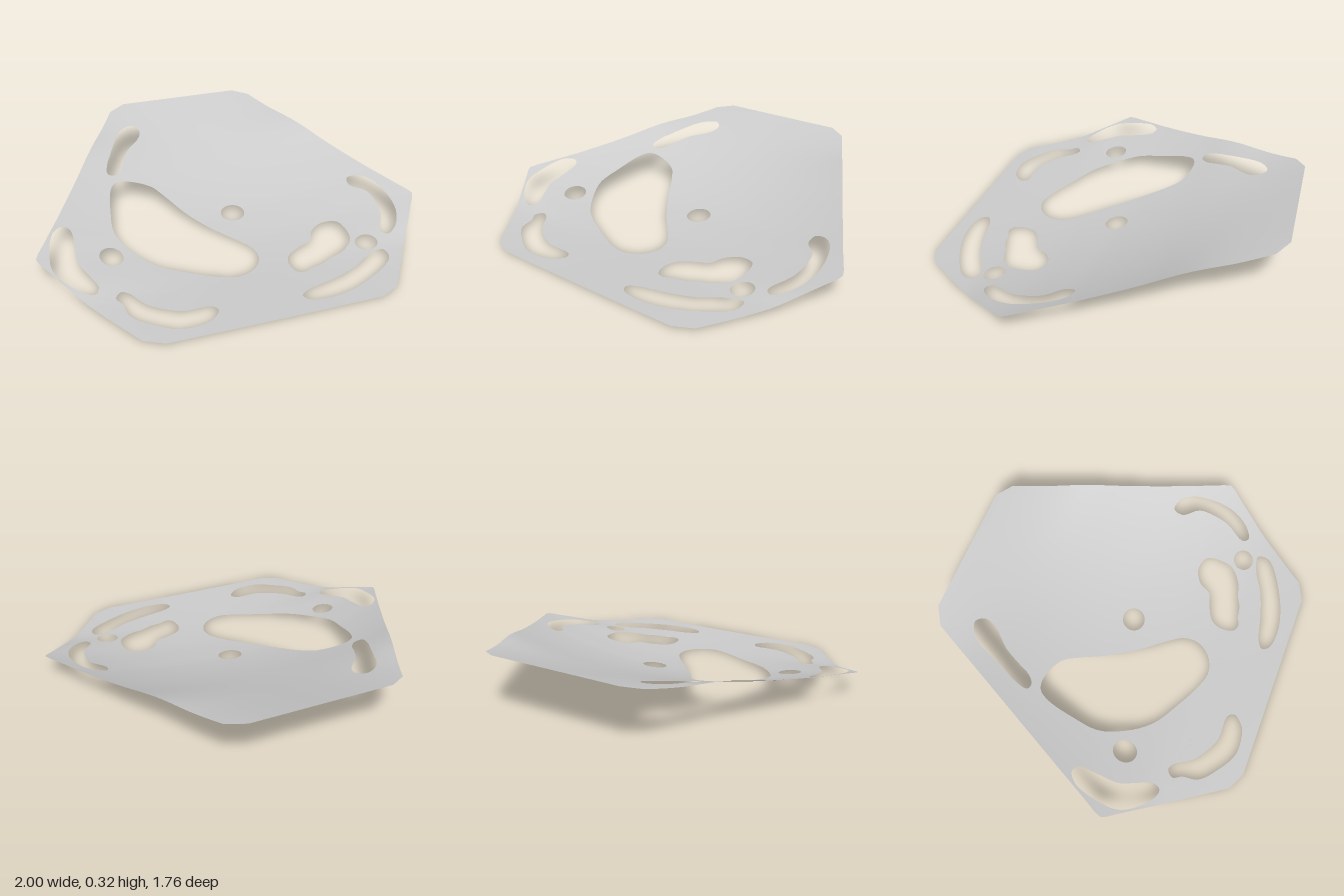
import * as THREE from 'three';
import { mergeVertices } from 'three/addons/utils/BufferGeometryUtils.js';

// Smooth interpolation through [z, value] pairs sorted by z
function smooth(knots, z) {
  const last = knots.length - 1;
  let i = 0;
  while (i < last - 1 && z > knots[i + 1][0]) i++;
  const slope = (j) => {
    const a = knots[Math.max(j - 1, 0)], b = knots[Math.min(j + 1, last)];
    return (b[1] - a[1]) / (b[0] - a[0]);
  };
  const [z0, v0] = knots[i], [z1, v1] = knots[i + 1];
  const d = z1 - z0, t = THREE.MathUtils.clamp((z - z0) / d, 0, 1);
  const s = t * t * (3 - 2 * t);
  return v0 + (v1 - v0) * s + d * t * (1 - t) * ((1 - t) * slope(i) - t * slope(i + 1));
}

// Height along the centre line, and how strongly the sides curl up
const spine = [[-0.885, 0.325], [-0.64, 0.24], [-0.45, 0.175], [-0.2, 0.095], [0, 0.045],
  [0.15, 0.022], [0.28, 0.008], [0.45, 0.001], [0.6, 0.002], [0.88, 0.008]];
const curl = [[-0.885, 0], [-0.83, 0.03], [-0.7, 0.1], [-0.5, 0.2], [-0.27, 0.19],
  [0, 0.165], [0.28, 0.122], [0.43, 0.095], [0.57, 0.052], [0.85, 0.013], [0.88, 0.01]];
const height = (x, z) => Math.max(0, smooth(spine, z) + smooth(curl, z) * x * x);

// Plan drawings use x and z; the shape's own y is -z
const flat = (points) => points.map(([x, z]) => new THREE.Vector2(x, -z));

function curvedHole(points) {
  const curve = new THREE.CatmullRomCurve3(
    points.map(([x, z]) => new THREE.Vector3(x, -z, 0)), true, 'centripetal');
  return new THREE.Path(curve.getPoints(points.length * 4).slice(0, -1)
    .map((p) => new THREE.Vector2(p.x, p.y)));
}

function roundHole(x, z, rx, rz) {
  const points = [];
  for (let i = 0; i < 24; i++) {
    const a = (i / 24) * Math.PI * 2;
    points.push(new THREE.Vector2(x + rx * Math.cos(a), -z + rz * Math.sin(a)));
  }
  return new THREE.Path(points);
}

// Halve the longest edges so the flat sheet can be bent smoothly
function subdivide(a, b, c, limit, out) {
  const ab = a.distanceTo(b), bc = b.distanceTo(c), ca = c.distanceTo(a);
  const longest = Math.max(ab, bc, ca);
  if (longest <= limit) {
    out.push(a, b, c);
    return;
  }
  if (longest === bc) [a, b, c] = [b, c, a];
  else if (longest === ca) [a, b, c] = [c, a, b];
  const m = a.clone().add(b).multiplyScalar(0.5);
  subdivide(a, m, c, limit, out);
  subdivide(m, b, c, limit, out);
}

export function createModel() {
  // Symmetrical outline with clipped corners
  const half = [[0.35, -0.885], [0.44, -0.83], [0.955, 0.185], [0.985, 0.24], [1, 0.28],
    [0.985, 0.31], [0.955, 0.35], [0.615, 0.835], [0.52, 0.88]];
  const mirrored = half.map(([x, z]) => [-x, z]).reverse();
  const shape = new THREE.Shape(flat([...half, ...mirrored]));

  // Large opening
  const large = [[-0.465, -0.26], [-0.34, -0.22], [-0.28, -0.145], [-0.2, -0.01], [-0.1, 0.13],
    [0.02, 0.27], [0.065, 0.34], [0.07, 0.42], [0.02, 0.495], [-0.065, 0.53], [-0.155, 0.51],
    [-0.3, 0.44], [-0.45, 0.35], [-0.545, 0.23], [-0.6, 0.1], [-0.59, -0.05],
    [-0.565, -0.185], [-0.53, -0.245]];
  // Slot beside the back edge
  const backSlot = [[-0.34, -0.69], [-0.305, -0.65], [-0.32, -0.59], [-0.405, -0.49],
    [-0.45, -0.4], [-0.48, -0.335], [-0.52, -0.3], [-0.555, -0.31], [-0.54, -0.39],
    [-0.52, -0.435], [-0.48, -0.53], [-0.44, -0.62], [-0.395, -0.67]];
  // Crescents near the side tips
  const rightCrescent = [[-0.85, 0.065], [-0.815, 0.085], [-0.81, 0.2], [-0.81, 0.3],
    [-0.77, 0.39], [-0.74, 0.465], [-0.76, 0.505], [-0.815, 0.49], [-0.895, 0.415],
    [-0.935, 0.34], [-0.935, 0.25], [-0.92, 0.16], [-0.895, 0.1]];
  const leftCrescent = [[0.735, 0.025], [0.8, 0.04], [0.85, 0.105], [0.875, 0.2],
    [0.88, 0.285], [0.86, 0.375], [0.81, 0.45], [0.755, 0.48], [0.73, 0.45],
    [0.785, 0.34], [0.8, 0.245], [0.79, 0.16], [0.725, 0.08]];
  // Slots along the front corners
  const rightFrontSlot = [[-0.645, 0.51], [-0.61, 0.525], [-0.55, 0.61], [-0.475, 0.665],
    [-0.395, 0.7], [-0.26, 0.705], [-0.24, 0.74], [-0.29, 0.795], [-0.34, 0.81],
    [-0.44, 0.81], [-0.555, 0.745], [-0.635, 0.67], [-0.65, 0.59], [-0.675, 0.545]];
  const leftFrontSlot = [[0.675, 0.565], [0.69, 0.595], [0.675, 0.645], [0.54, 0.735],
    [0.405, 0.79], [0.285, 0.81], [0.19, 0.795], [0.165, 0.76], [0.2, 0.73],
    [0.355, 0.69], [0.485, 0.645], [0.58, 0.59]];
  // Ragged opening
  const ragged = [[0.47, 0.275], [0.55, 0.295], [0.57, 0.365], [0.56, 0.445], [0.525, 0.485],
    [0.47, 0.52], [0.415, 0.535], [0.355, 0.565], [0.29, 0.578], [0.25, 0.595],
    [0.21, 0.58], [0.195, 0.51], [0.22, 0.45], [0.3, 0.405], [0.365, 0.38], [0.4, 0.315]];

  shape.holes.push(
    ...[large, backSlot, rightCrescent, leftCrescent, rightFrontSlot, leftFrontSlot, ragged]
      .map(curvedHole),
    roundHole(0.053, 0.045, 0.064, 0.06),
    roundHole(-0.645, 0.27, 0.058, 0.063),
    roundHole(0.625, 0.495, 0.058, 0.055));

  // Cut sheet, refined and bent into a shallow dish that rises to the back
  const cut = new THREE.ShapeGeometry(shape);
  const corner = (i) => new THREE.Vector3().fromBufferAttribute(
    cut.attributes.position, cut.index.getX(i));
  const triangles = [];
  for (let i = 0; i < cut.index.count; i += 3) {
    subdivide(corner(i), corner(i + 1), corner(i + 2), 0.05, triangles);
  }
  const bent = triangles.map((p) => new THREE.Vector3(p.x, height(p.x, -p.y), -p.y));
  const geometry = mergeVertices(new THREE.BufferGeometry().setFromPoints(bent), 1e-5);
  geometry.computeVertexNormals();

  const sheet = new THREE.Mesh(geometry,
    new THREE.MeshStandardMaterial({ color: 0xcccccc, side: THREE.DoubleSide }));
  sheet.name = 'curvedPerforatedSheet';
  const group = new THREE.Group();
  group.name = 'perforatedSheet';
  group.add(sheet);
  return group;
}
